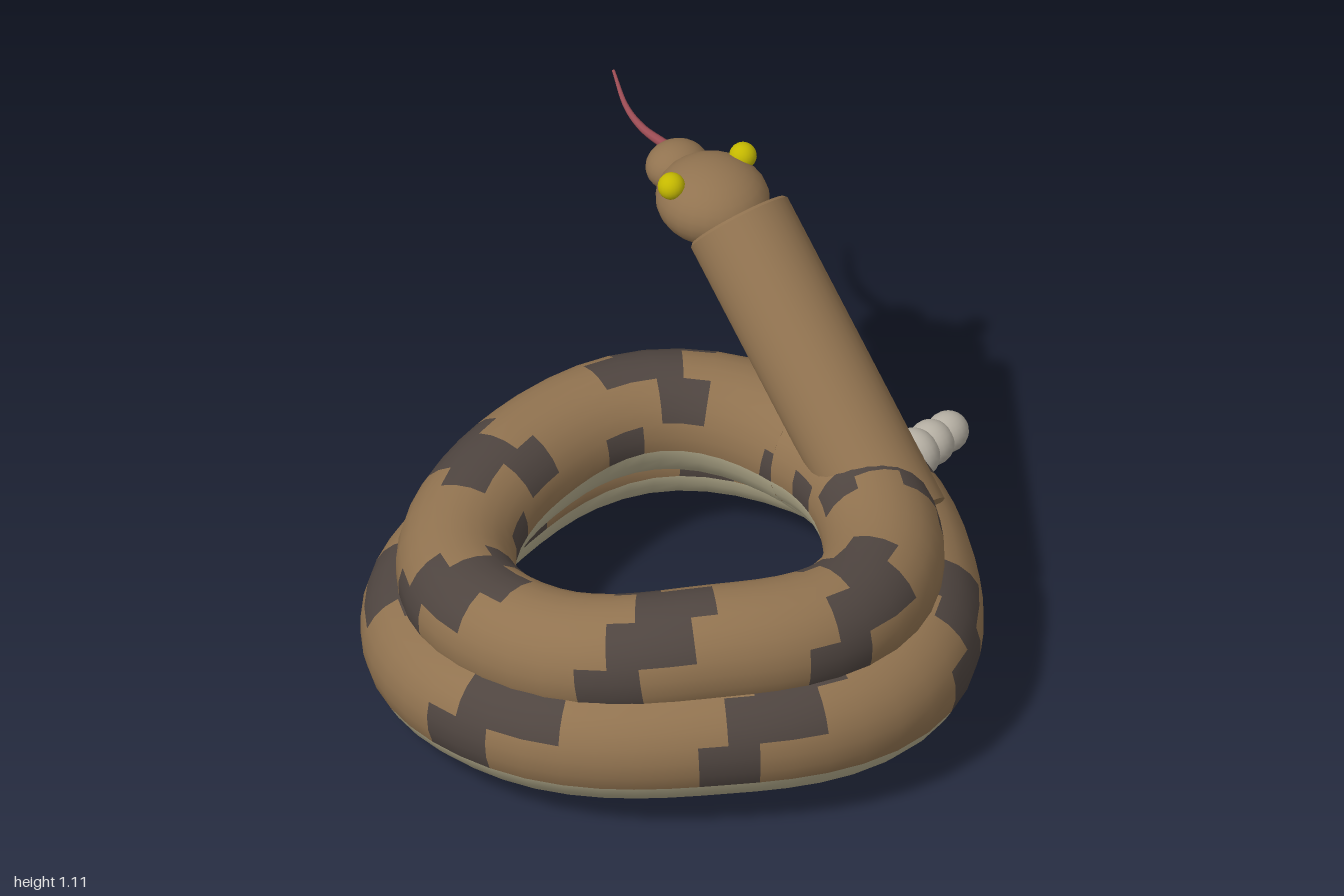
import * as THREE from 'three';

const mat = (color) => new THREE.MeshStandardMaterial({ color, side: THREE.DoubleSide });
const BROWN = mat(0x917350), DARK = mat(0x4f4540), CREAM = mat(0xb3ab8c);
const YELLOW = mat(0xc4b800), RED = mat(0x9c4c54), GREY = mat(0xb4aea2);
const V = (x, y, z) => new THREE.Vector3(x, y, z);

function add(group, name, geometry, material, pos) {
  const mesh = new THREE.Mesh(geometry, material);
  mesh.name = name;
  if (pos) mesh.position.copy(pos);
  group.add(mesh);
  return mesh;
}

// Keys of the spiral every eighth of a turn: coil radius, height, body thickness
const KEYS = new THREE.CatmullRomCurve3([
  V(0.74, 0.13, 0.12), V(0.755, 0.175, 0.13), V(0.69, 0.16, 0.145), V(0.715, 0.155, 0.155),
  V(0.69, 0.215, 0.165), V(0.625, 0.245, 0.168), V(0.678, 0.24, 0.17), V(0.61, 0.24, 0.17),
  V(0.625, 0.31, 0.167), V(0.645, 0.37, 0.16), V(0.59, 0.365, 0.16), V(0.615, 0.345, 0.16),
  V(0.595, 0.4, 0.165), V(0.53, 0.455, 0.165), V(0.57, 0.445, 0.165), V(0.515, 0.43, 0.16),
  V(0.505, 0.43, 0.157),
], false, 'catmullrom');

function spiral(t) {
  const k = KEYS.getPoint(t), a = t * Math.PI * 4;
  return V(-0.15 + k.x * Math.cos(a), k.y, 0.03 - k.x * Math.sin(a));
}

// Saddle markings: rows run from the outer flank over the back to the inner flank
const MARKS = ['##......', '.###....', '..###...', '.##.....', '....##..'];

function buildBody(group) {
  const N = 104, M = 24, pos = [], nor = [];
  const skin = { bodyBack: [], bodyMarkings: [], bodyBelly: [] };
  const tangent = (t) => spiral(Math.min(1, t + 0.002)).sub(spiral(Math.max(0, t - 0.002))).normalize();
  for (let i = 0; i <= N; i++) {
    const t = i / N, p = spiral(t), T = tangent(t), r = KEYS.getPoint(t).z;
    const out = T.clone().cross(V(0, 1, 0)).normalize(), up = out.clone().cross(T);
    for (let j = 0; j <= M; j++) {
      const a = (j * 15 - 22.5) * Math.PI / 180;
      const n = out.clone().multiplyScalar(Math.cos(a)).addScaledVector(up, Math.sin(a));
      nor.push(...n.toArray());
      pos.push(...n.multiplyScalar(r).add(p).toArray());
    }
  }
  for (let i = 0; i < N; i++) for (let j = 0; j < M; j++) {
    const row = Math.floor(j / 3);
    const part = j >= 14 ? 'bodyBelly' : MARKS[row][i % 8] === '#' ? 'bodyMarkings' : 'bodyBack';
    const a = i * (M + 1) + j, b = a + M + 1;
    skin[part].push(a, b, b + 1, a, b + 1, a + 1);
  }
  const P = new THREE.Float32BufferAttribute(pos, 3), Q = new THREE.Float32BufferAttribute(nor, 3);
  const materials = { bodyBack: BROWN, bodyMarkings: DARK, bodyBelly: CREAM };
  for (const part in skin) {
    const g = new THREE.BufferGeometry();
    g.setAttribute('position', P);
    g.setAttribute('normal', Q);
    g.setIndex(skin[part]);
    add(group, part, g, materials[part]);
  }
  // Flat ends of the coil
  for (const [t, s, material] of [[0, -1, CREAM], [1, 1, BROWN]]) {
    const cap = add(group, 'bodyEnd', new THREE.CircleGeometry(KEYS.getPoint(t).z, 24), material, spiral(t));
    cap.lookAt(spiral(t).addScaledVector(tangent(t), s));
  }
}

// Ellipsoid turned to face along dir
function ellipsoid(group, name, center, scale, dir, material) {
  const m = add(group, name, new THREE.SphereGeometry(1, 24, 16), material, center);
  m.scale.set(...scale);
  m.lookAt(center.clone().add(dir));
}

function buildNeck(group) {
  const a = V(0.29, 0.39, 0.39), b = V(0.45, 0.98, -0.29), L = a.distanceTo(b), r = 0.145;
  const profile = [[0, 0], [r, 0], [r, 0], [r, L - 0.008], [r, L - 0.008], [r - 0.008, L], [r - 0.008, L], [0, L]]
    .map(([x, y]) => new THREE.Vector2(x, y));
  const neck = add(group, 'neck', new THREE.LatheGeometry(profile, 32), BROWN, a);
  neck.quaternion.setFromUnitVectors(V(0, 1, 0), b.clone().sub(a).normalize());
}

function buildHead(group) {
  const dir = V(0.25, 0, -1);
  ellipsoid(group, 'head', V(0.468, 0.992, -0.392), [0.15, 0.11, 0.158], dir, BROWN);
  ellipsoid(group, 'snout', V(0.51, 1.003, -0.55), [0.087, 0.066, 0.08], dir, BROWN);
  add(group, 'leftEye', new THREE.SphereGeometry(0.037, 20, 14), YELLOW, V(0.585, 1.07, -0.385));
  add(group, 'rightEye', new THREE.SphereGeometry(0.037, 20, 14), YELLOW, V(0.36, 1.07, -0.445));
  // Pair of small fangs under the snout
  for (const [x, z] of [[0.475, -0.54], [0.535, -0.52]]) {
    const fang = add(group, 'fang', new THREE.ConeGeometry(0.008, 0.06, 8), GREY, V(x, 0.93, z));
    fang.rotation.x = Math.PI;
  }
  // Tongue: a tube narrowed towards its tip
  const path = new THREE.CatmullRomCurve3([
    V(0.525, 1.035, -0.6), V(0.545, 1.035, -0.7), V(0.575, 1.05, -0.78), V(0.63, 1.095, -0.87)]);
  const S = 20, R = 8, g = new THREE.TubeGeometry(path, S, 0.014, R), p = g.attributes.position;
  for (let i = 0; i <= S; i++) {
    const c = path.getPointAt(i / S);
    for (let j = 0; j <= R; j++) {
      const k = i * (R + 1) + j, v = V().fromBufferAttribute(p, k).sub(c);
      v.multiplyScalar(1 - 0.7 * i / S).add(c);
      p.setXYZ(k, v.x, v.y, v.z);
    }
  }
  add(group, 'tongue', g, RED);
}

// Rattle: overlapping beads shrinking outwards
function buildRattle(group) {
  const rattle = new THREE.Group();
  rattle.name = 'rattle';
  for (let i = 0; i < 6; i++) {
    const f = i / 5, r = 0.093 - 0.037 * f;
    const bead = add(rattle, 'rattleBead', new THREE.SphereGeometry(r, 20, 14), GREY,
      V(0.62 + 0.32 * f, 0.145, 0.015 + 0.012 * f));
    bead.scale.x = 0.06 / r;
  }
  group.add(rattle);
}

export function createModel() {
  const snake = new THREE.Group();
  snake.name = 'coiledSnake';
  buildBody(snake);
  buildNeck(snake);
  buildHead(snake);
  buildRattle(snake);
  return snake;
}
